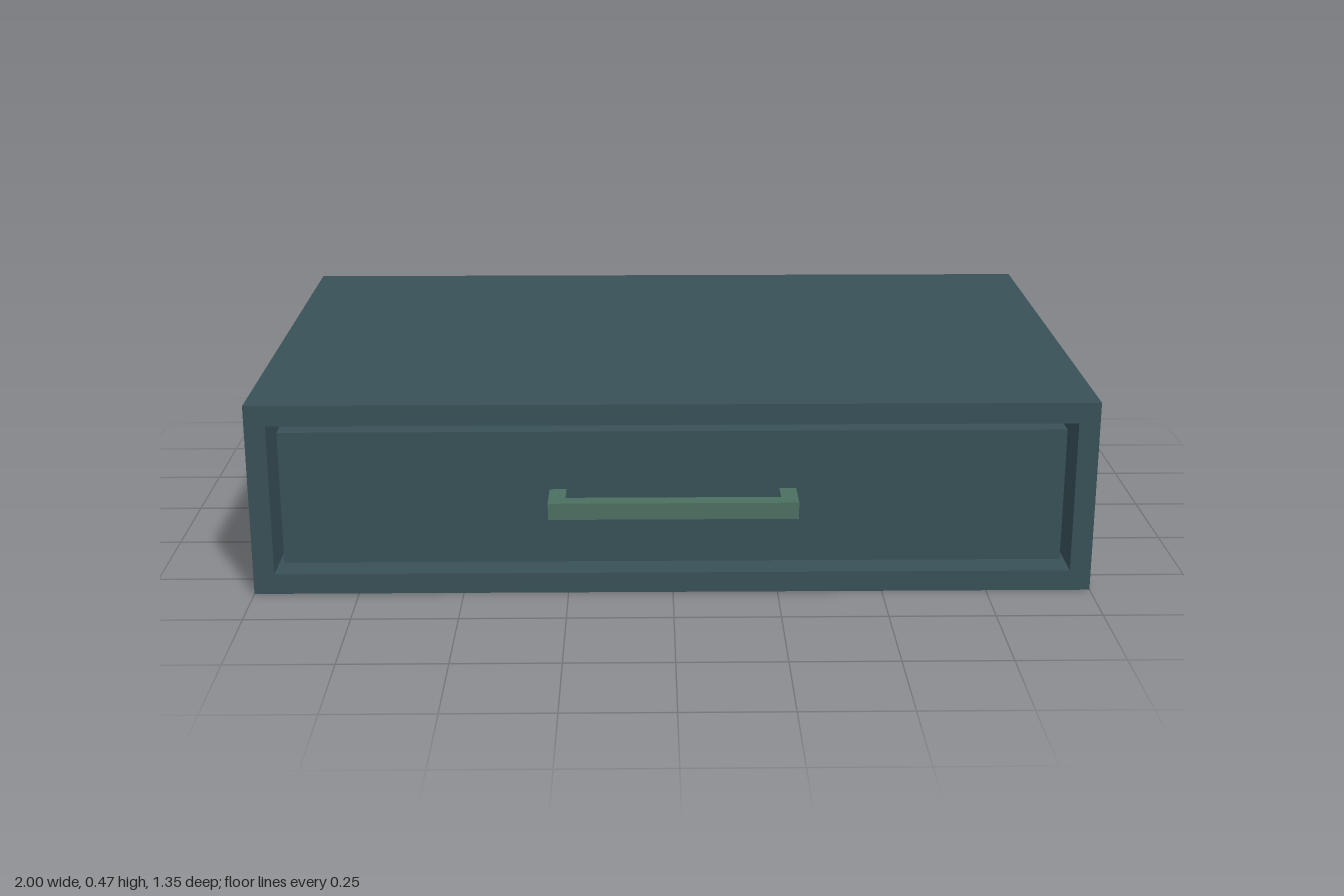
import * as THREE from 'three';

const WIDTH = 2, HEIGHT = 0.47, BACK = -0.675, FRONT = 0.595;
const WALL = 0.05, GAP = 0.022, RECESS = 0.02;

export function createModel() {
  const group = new THREE.Group();
  const bodyMaterial = new THREE.MeshStandardMaterial({ color: 0x385158 });
  const handleMaterial = new THREE.MeshStandardMaterial({ color: 0x4c7061 });

  function add(name, geometry, material, parent = group) {
    const mesh = new THREE.Mesh(geometry, material);
    mesh.name = name;
    parent.add(mesh);
    return mesh;
  }

  // Rectangle path, inset from the outer cabinet edge
  function rectangle(PathType, inset) {
    const x = WIDTH / 2 - inset;
    return new PathType([
      new THREE.Vector2(-x, inset),
      new THREE.Vector2(x, inset),
      new THREE.Vector2(x, HEIGHT - inset),
      new THREE.Vector2(-x, HEIGHT - inset),
    ]);
  }

  function extrude(shape, z0, z1) {
    return new THREE.ExtrudeGeometry(shape, { depth: z1 - z0, bevelEnabled: false }).translate(0, 0, z0);
  }

  // Cabinet: a sleeve open at the front, closed by a back panel
  const sleeve = rectangle(THREE.Shape, 0);
  sleeve.holes.push(rectangle(THREE.Path, WALL));
  add('cabinetShell', extrude(sleeve, BACK, FRONT), bodyMaterial);
  add('cabinetBack', extrude(rectangle(THREE.Shape, WALL), BACK, BACK + WALL), bodyMaterial);

  // Drawer, slightly recessed with an even gap around it
  const drawerFront = FRONT - RECESS;
  add('drawer', extrude(rectangle(THREE.Shape, WALL + GAP), BACK + WALL, drawerFront), bodyMaterial);

  // Square-section pull handle, bent as one U-shaped piece
  const half = 0.292, bar = 0.04, reach = 0.675 - drawerFront;
  const outline = new THREE.Shape([
    [-half, 0], [-half, reach], [half, reach], [half, 0],
    [half - bar, 0], [half - bar, reach - bar], [-half + bar, reach - bar], [-half + bar, 0],
  ].map(([x, y]) => new THREE.Vector2(x, y)));
  const handle = new THREE.ExtrudeGeometry(outline, { depth: bar, bevelEnabled: false });
  handle.rotateX(Math.PI / 2).translate(0, HEIGHT / 2 + bar / 2, drawerFront);
  add('handle', handle, handleMaterial);

  return group;
}
